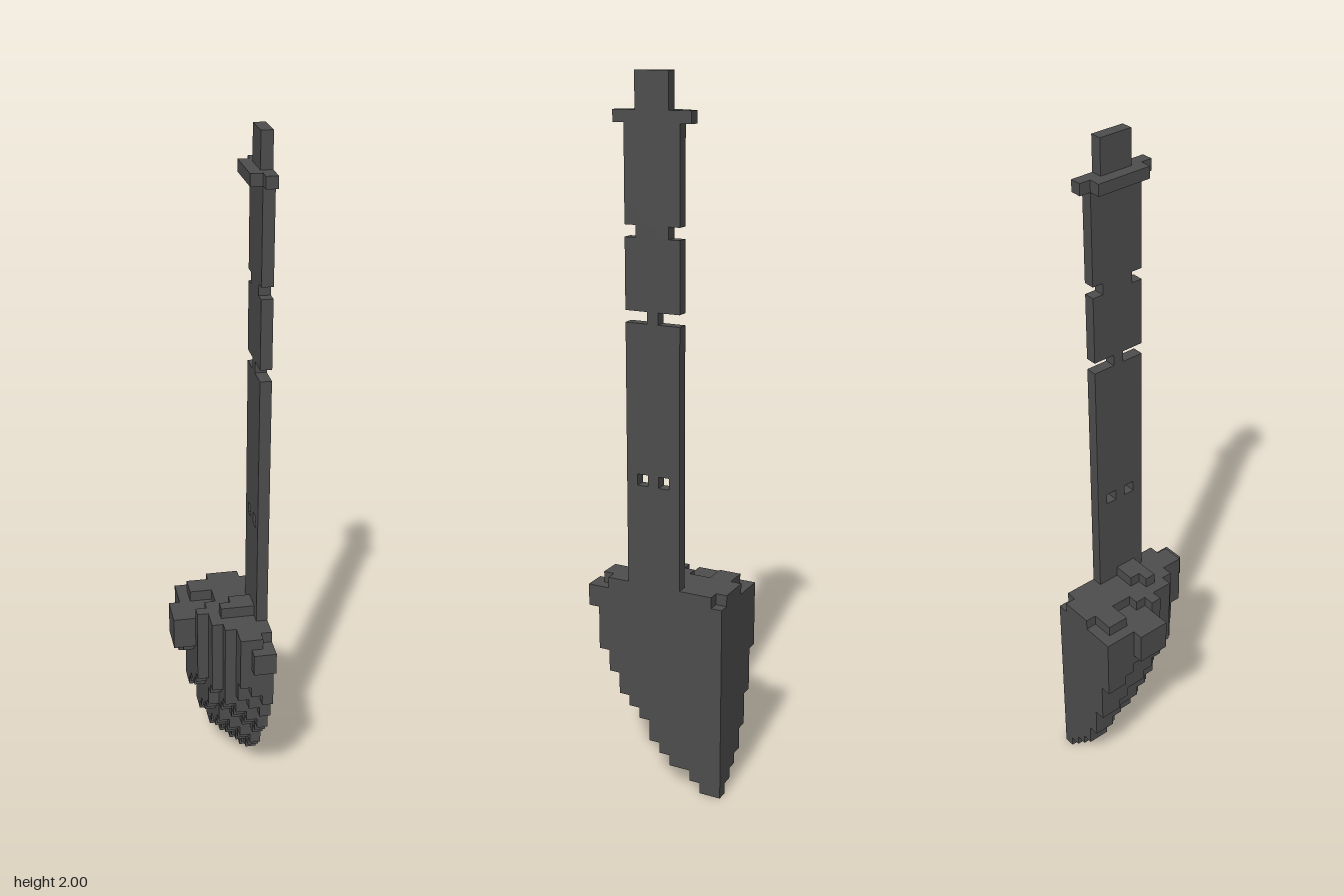
import * as THREE from 'three';

// The model sits on a cell grid: 8 wide (x), 62 high (y), 13 deep (z).
const CELL = 2 / 62, NX = 8, NZ = 13;

// Lowest blade layer along each of the two flat walls
const BOTTOM_X = [15, 12, 8, 5, 3, 2, 1, 0];
const BOTTOM_Z = [0, 0, 1, 2, 2, 3, 4, 6, 7, 8, 10, 12, 16];
// For each z row: first x cell of the blade, and first x cell of its raised top
const OUTLINE = [1, 1, 1, 0, 0, 0, 2, 3, 3, 4, 5, 5, 6];
const RAISED = [4, 2, 2, 4, 4, 3, 2, 3, 3, 4, 5, 5, 8];

const key = (x, y, z) => `${x},${y},${z}`;

function fill(cells, x0, x1, y0, y1, z0, z1) {
  for (let x = x0; x <= x1; x++)
    for (let y = y0; y <= y1; y++)
      for (let z = z0; z <= z1; z++) cells.set(key(x, y, z), [x, y, z]);
}

// Stepped blade: a quarter bowl that narrows towards the tip
function bladeCells() {
  const cells = new Map();
  for (let z = 0; z < NZ; z++) {
    for (let x = OUTLINE[z]; x < NX; x++) {
      const bx = BOTTOM_X[x], bz = BOTTOM_Z[z];
      const bottom = Math.max(bx, bz, Math.min(bx + bz, 15));
      const chipped = x === 7 && (z === 0 || z === 11);
      const top = x >= RAISED[z] && !chipped ? 18 : 17;
      fill(cells, x, x, bottom, top, z, z);
    }
  }
  // Collar at the foot of the handle
  fill(cells, 5, 6, 19, 19, 6, 7);
  fill(cells, 4, 4, 19, 19, 7, 7);
  return cells;
}

// Flat handle with two notched bands and a pair of holes
function handleCells() {
  const cells = new Map();
  fill(cells, 7, 7, 19, 57, 4, 8);
  for (const [y, z] of [[28, 5], [28, 7], [49, 4], [49, 8], [42, 4], [42, 5], [42, 7], [42, 8]])
    cells.delete(key(7, y, z));
  return cells;
}

// Crossbar near the top, thicker in the middle
function crossbarCells() {
  const cells = new Map();
  fill(cells, 7, 7, 58, 58, 3, 9);
  fill(cells, 6, 6, 58, 58, 4, 8);
  return cells;
}

function endCapCells() {
  const cells = new Map();
  fill(cells, 7, 7, 59, 61, 5, 7);
  return cells;
}

// Builds only the cell faces that are not covered by a neighbour
function cellGeometry(cells, solid) {
  const positions = [], normals = [], index = [];
  for (const cell of cells.values()) {
    for (let axis = 0; axis < 3; axis++) {
      for (const side of [-1, 1]) {
        const next = [...cell];
        next[axis] += side;
        if (solid.has(key(...next))) continue;
        const u = (axis + 1) % 3, v = (axis + 2) % 3;
        const start = positions.length / 3;
        for (const [a, b] of [[0, 0], [1, 0], [1, 1], [0, 1]]) {
          const p = [...cell], n = [0, 0, 0];
          p[axis] += side > 0 ? 1 : 0;
          p[u] += a;
          p[v] += b;
          n[axis] = side;
          positions.push((p[0] - NX / 2) * CELL, p[1] * CELL, (p[2] - NZ / 2) * CELL);
          normals.push(...n);
        }
        const order = side > 0 ? [0, 1, 2, 0, 2, 3] : [0, 2, 1, 0, 3, 2];
        index.push(...order.map((o) => start + o));
      }
    }
  }
  const geometry = new THREE.BufferGeometry();
  geometry.setAttribute('position', new THREE.Float32BufferAttribute(positions, 3));
  geometry.setAttribute('normal', new THREE.Float32BufferAttribute(normals, 3));
  geometry.setIndex(index);
  return geometry;
}

export function createModel() {
  const group = new THREE.Group();
  group.name = 'shovel';
  const darkGrey = new THREE.MeshStandardMaterial({ color: 0x4d4d4d });
  darkGrey.name = 'darkGrey';

  const parts = {
    blade: bladeCells(),
    handle: handleCells(),
    crossbar: crossbarCells(),
    endCap: endCapCells(),
  };
  const solid = new Set(Object.values(parts).flatMap((cells) => [...cells.keys()]));

  for (const [name, cells] of Object.entries(parts)) {
    const mesh = new THREE.Mesh(cellGeometry(cells, solid), darkGrey);
    mesh.name = name;
    group.add(mesh);
  }
  return group;
}
